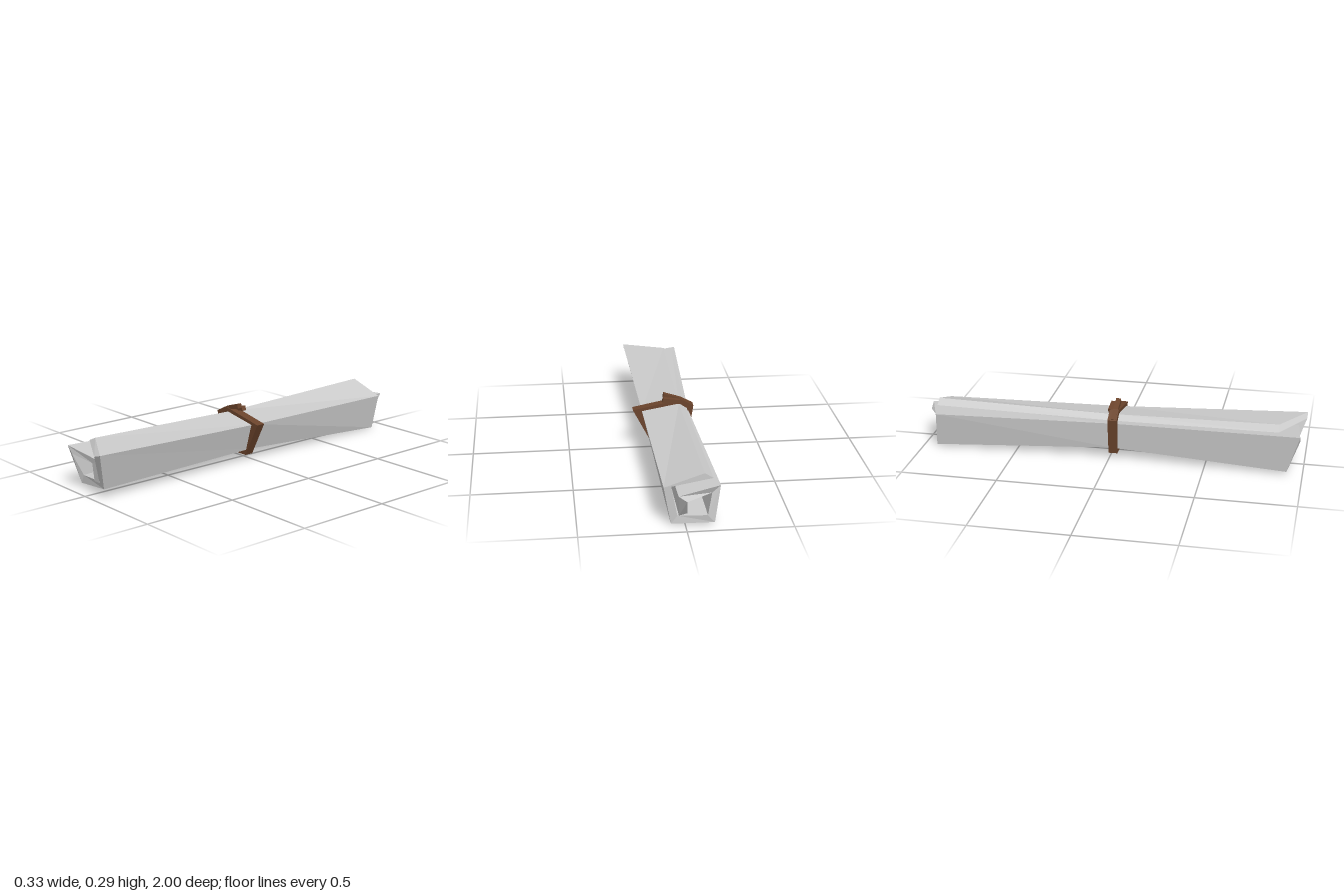
import * as THREE from 'three';

// Builds a thick sheet bent into a band. Each section lists rows of
// [outerX, outerY, innerX, innerY, z]; sections run from front to back.
function sheet(name, sections, material) {
  const pos = [];
  const outer = (s, i) => [sections[s][i][0], sections[s][i][1], sections[s][i][4]];
  const inner = (s, i) => [sections[s][i][2], sections[s][i][3], sections[s][i][4]];
  const quad = (a, b, c, d) => pos.push(...a, ...b, ...c, ...a, ...c, ...d);
  const last = sections.length - 1;
  const n = sections[0].length - 1;
  for (let s = 0; s < last; s++) {
    for (let i = 0; i < n; i++) {
      quad(outer(s, i), outer(s, i + 1), outer(s + 1, i + 1), outer(s + 1, i));
      quad(inner(s, i + 1), inner(s, i), inner(s + 1, i), inner(s + 1, i + 1));
    }
    // the two free long edges
    quad(inner(s, 0), outer(s, 0), outer(s + 1, 0), inner(s + 1, 0));
    quad(outer(s, n), inner(s, n), inner(s + 1, n), outer(s + 1, n));
  }
  // front and back rims
  for (let i = 0; i < n; i++) {
    quad(outer(0, i), inner(0, i), inner(0, i + 1), outer(0, i + 1));
    quad(outer(last, i + 1), inner(last, i + 1), inner(last, i), outer(last, i));
  }
  const g = new THREE.BufferGeometry();
  g.setAttribute('position', new THREE.Float32BufferAttribute(pos, 3));
  g.computeVertexNormals();
  const mesh = new THREE.Mesh(g, material);
  mesh.name = name;
  return mesh;
}

export function createModel() {
  const paper = new THREE.MeshStandardMaterial({ color: 0xcacaca, flatShading: true });
  paper.name = 'pale grey paper';
  const leather = new THREE.MeshStandardMaterial({ color: 0x6b442c, flatShading: true });
  leather.name = 'brown leather';

  const model = new THREE.Group();
  model.name = 'rolledScroll';

  // Square spiral: flap edge, then clockwise into the roll
  const front = [
    [-0.09, 0.248, -0.14, 0.225, 0.87],
    [0.138, 0.235, 0.09, 0.22, 1.0],
    [0.09, 0.048, 0.052, 0.078, 0.95],
    [-0.145, 0.015, -0.125, 0.06, 0.92],
    [-0.165, 0.215, -0.13, 0.18, 0.98],
    [0.075, 0.185, 0.012, 0.162, 0.96],
    [0.05, 0.07, 0.012, 0.07, 0.95],
  ];
  const waist = [
    [-0.08, 0.232, -0.115, 0.21, 0.01],
    [0.115, 0.2, 0.085, 0.185, 0.01],
    [0.075, 0.06, 0.05, 0.09, 0.01],
    [-0.115, 0.058, -0.085, 0.095, 0.01],
    [-0.128, 0.198, -0.088, 0.165, 0.01],
    [0.062, 0.172, 0.025, 0.15, 0.01],
    [0.042, 0.095, 0.012, 0.1, 0.01],
  ];
  const back = [
    [-0.09, 0.254, -0.13, 0.228, -0.92],
    [0.1, 0.19, 0.065, 0.193, -0.92],
    [0.065, 0, 0.035, 0.04, -0.91],
    [-0.138, 0.008, -0.105, 0.045, -0.93],
    [-0.165, 0.19, -0.125, 0.155, -0.92],
    [0.04, 0.18, 0, 0.15, -1.0],
    [0.03, 0.05, -0.01, 0.06, -0.93],
  ];
  model.add(sheet('paperRoll', [front, waist, back], paper));

  // Strap wrapped round the waist
  const loop = [
    [-0.09, 0.26, -0.08, 0.238],
    [0.163, 0.21, 0.118, 0.203],
    [0.07, 0.03, 0.065, 0.056],
    [-0.125, 0.032, -0.11, 0.056],
    [-0.155, 0.225, -0.125, 0.208],
    [-0.09, 0.26, -0.08, 0.238],
  ];
  const atDepths = (rows, z0, z1) => [z0, z1].map(z => rows.map(r => [...r, z]));
  model.add(sheet('strap', atDepths(loop, 0.045, -0.002), leather));

  // Two loose strap ends lifting off the top
  const longEnd = [
    [-0.15, 0.23, -0.14, 0.215],
    [-0.085, 0.263, -0.075, 0.245],
    [0, 0.29, 0.004, 0.266],
  ];
  const shortEnd = [
    [-0.085, 0.26, -0.08, 0.24],
    [0.003, 0.272, 0.011, 0.25],
  ];
  model.add(sheet('longStrapEnd', atDepths(longEnd, 0.04, 0.014), leather));
  model.add(sheet('shortStrapEnd', atDepths(shortEnd, 0.014, -0.012), leather));

  return model;
}
